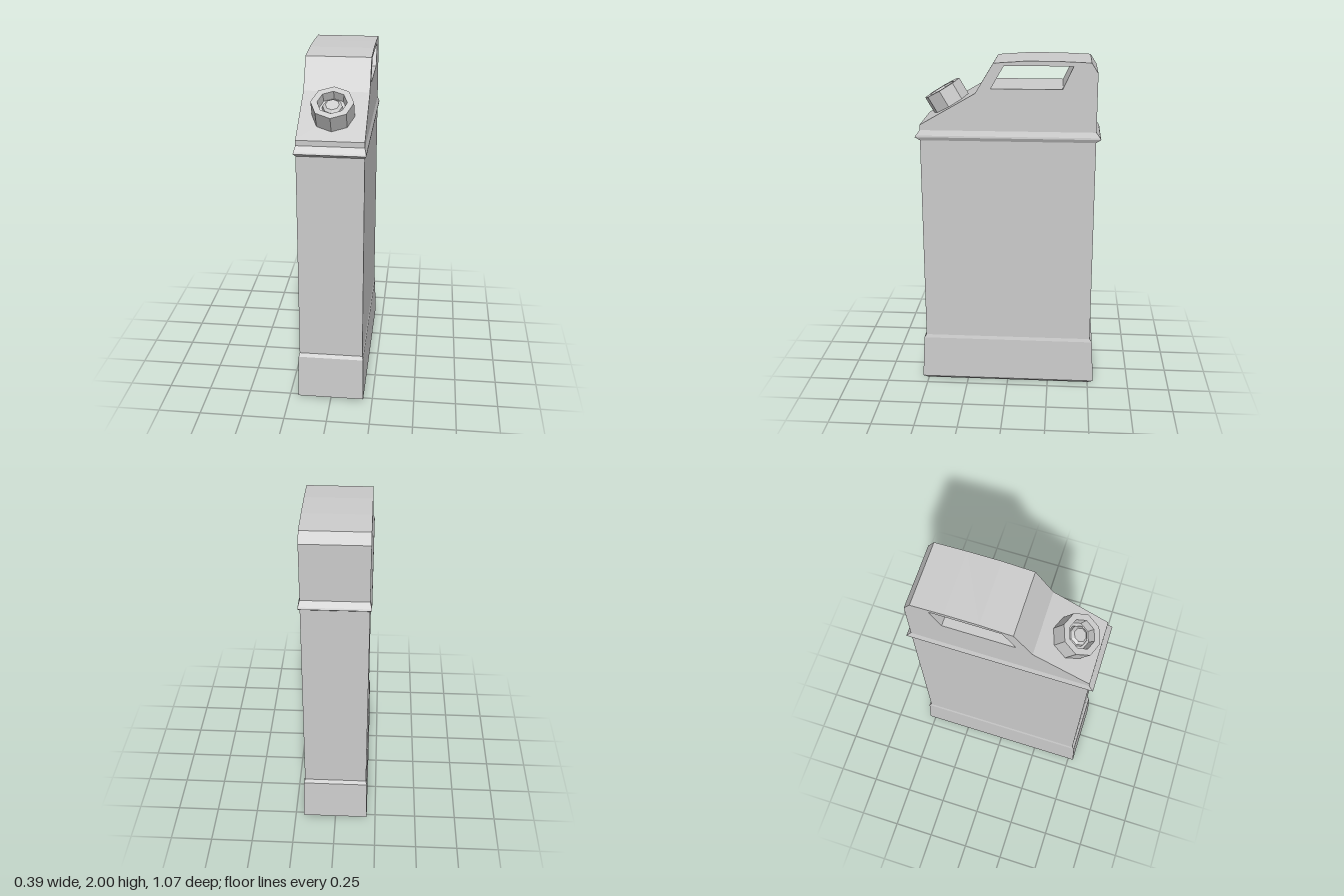
import * as THREE from 'three';

const material = new THREE.MeshStandardMaterial({ color: 0xcccccc, flatShading: true });

function addMesh(parent, name, geometry) {
  const flat = geometry.index ? geometry.toNonIndexed() : geometry;
  flat.computeVertexNormals();
  const mesh = new THREE.Mesh(flat, material);
  mesh.name = name;
  parent.add(mesh);
  return mesh;
}

// Skin through a stack of rectangles, each [half width x, half depth z, y]
function rectangleLoft(levels) {
  const positions = [];
  const index = [];
  for (const [x, z, y] of levels) positions.push(x, y, z, x, y, -z, -x, y, -z, -x, y, z);
  for (let i = 0; i < levels.length - 1; i++) {
    for (let j = 0; j < 4; j++) {
      const a = i * 4 + j;
      const b = i * 4 + (j + 1) % 4;
      index.push(a, b, b + 4, a, b + 4, a + 4);
    }
  }
  const geometry = new THREE.BufferGeometry();
  geometry.setAttribute('position', new THREE.Float32BufferAttribute(positions, 3));
  geometry.setIndex(index);
  return geometry;
}

const toPoints = (list) => list.map(([a, b]) => new THREE.Vector2(a, b));

export function createModel() {
  const group = new THREE.Group();
  group.name = 'fuelCan';

  // Body: recessed underside, flared foot, straight walls and a seam ridge
  addMesh(group, 'body', rectangleLoft([
    [0.01, 0.01, 0.04],
    [0.18, 0.495, 0.04],
    [0.185, 0.505, 0],
    [0.197, 0.535, 0.015],
    [0.192, 0.521, 0.28],
    [0.187, 0.507, 0.3],
    [0.187, 0.507, 1.54],
    [0.197, 0.535, 1.56],
    [0.196, 0.53, 1.57],
    [0.187, 0.507, 1.6],
  ]));
  // Centre of the recessed underside
  const plate = new THREE.PlaneGeometry(0.02, 0.02).rotateX(Math.PI / 2).translate(0, 0.04, 0);
  addMesh(group, 'undersideCentre', plate);

  // Shoulder and handle: side outline in (z, y), with the grip opening
  const outline = new THREE.Shape(toPoints([
    [0.507, 1.6], [0.507, 1.63], [0.185, 1.815], [0.08, 1.987], [-0.1, 2],
    [-0.29, 2], [-0.47, 1.993], [-0.507, 1.935], [-0.507, 1.6],
  ]));
  outline.holes.push(new THREE.Path(toPoints([
    [0.02, 1.973], [-0.37, 1.973], [-0.31, 1.843], [0.095, 1.843],
  ])));
  const shoulder = new THREE.ExtrudeGeometry(outline, { depth: 0.374, bevelEnabled: false });
  shoulder.translate(0, 0, -0.187).rotateY(-Math.PI / 2);
  addMesh(group, 'shoulderAndHandle', shoulder);

  // Octagonal cap with a hollow top and a central knob
  const cap = addMesh(group, 'cap', new THREE.LatheGeometry(toPoints([
    [0.118, -0.005], [0.118, 0.1], [0.082, 0.1], [0.076, 0.05],
    [0.058, 0.05], [0.054, 0.07], [0.038, 0.082], [0, 0.082],
  ]), 8));
  cap.position.set(0, 1.727, 0.347);
  cap.rotation.x = 0.525;

  return group;
}
